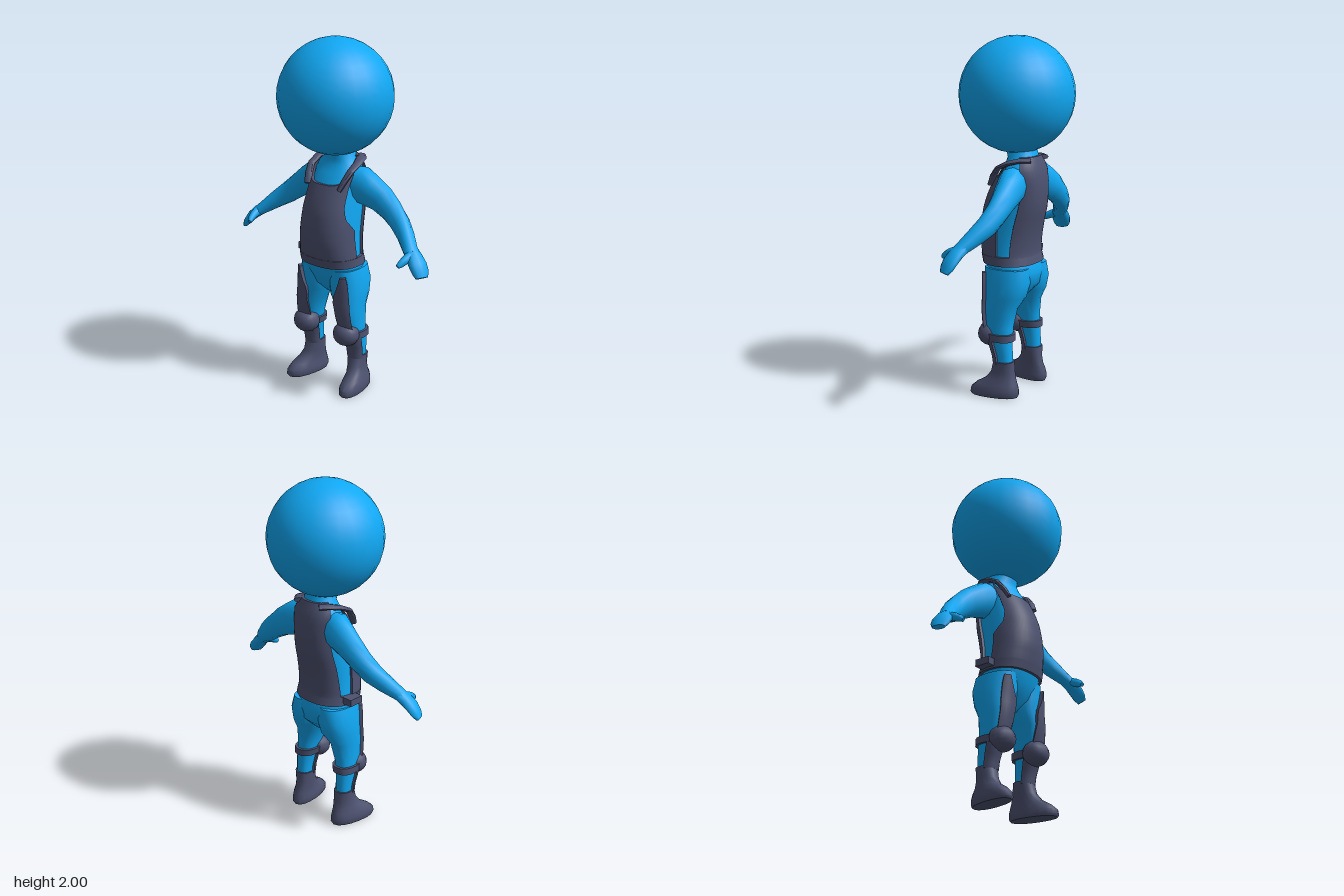
import * as THREE from 'three';
import { toCreasedNormals } from 'three/addons/utils/BufferGeometryUtils.js';

const skin = new THREE.MeshStandardMaterial({ color: 0x10a8f4 });
const cloth = new THREE.MeshStandardMaterial({ color: 0x4d5270, side: THREE.DoubleSide });
const lerp = THREE.MathUtils.lerp;

// Cross-sections: [y, centre x, half width, front z, back z]
const TORSO = [
  [0.56, 0, 0.05, 0.05, -0.06], [0.62, 0, 0.13, 0.11, -0.12], [0.7, 0, 0.18, 0.14, -0.13],
  [0.75, 0, 0.172, 0.16, -0.115], [0.8, 0, 0.168, 0.172, -0.102], [0.9, 0, 0.158, 0.187, -0.115],
  [0.97, 0, 0.155, 0.184, -0.128], [1.06, 0, 0.148, 0.17, -0.15], [1.13, 0, 0.142, 0.145, -0.157],
  [1.2, 0, 0.138, 0.112, -0.157], [1.27, 0, 0.138, 0.072, -0.148], [1.31, 0, 0.122, 0.045, -0.134],
  [1.34, 0, 0.09, 0.04, -0.12], [1.42, 0, 0.082, 0.06, -0.1],
];
const LEG = [
  [0.18, 0.16, 0.043, 0.04, -0.058], [0.24, 0.16, 0.044, 0.05, -0.058], [0.3, 0.16, 0.05, 0.07, -0.055],
  [0.4, 0.15, 0.058, 0.105, -0.055], [0.5, 0.135, 0.071, 0.12, -0.07], [0.57, 0.112, 0.096, 0.123, -0.11],
  [0.65, 0.105, 0.099, 0.128, -0.13], [0.73, 0.1, 0.085, 0.135, -0.12],
];
const BOOT = [
  [0, 0.173, 0.058, 0.176, -0.092], [0.012, 0.173, 0.063, 0.183, -0.098], [0.04, 0.173, 0.062, 0.178, -0.098],
  [0.07, 0.172, 0.056, 0.145, -0.09], [0.1, 0.167, 0.05, 0.095, -0.078], [0.14, 0.161, 0.048, 0.065, -0.07],
  [0.205, 0.16, 0.052, 0.05, -0.067],
];

// Piecewise-linear lookup in rows that start with y
function at(rows, y) {
  let i = 0;
  while (i < rows.length - 2 && y > rows[i + 1][0]) i++;
  const t = THREE.MathUtils.clamp((y - rows[i][0]) / (rows[i + 1][0] - rows[i][0]), 0, 1);
  return rows[i].map((v, k) => lerp(v, rows[i + 1][k], t));
}

// Point on a profile at a height and an angle from the front
function surface(rows, y, angle, off = 0) {
  const [, cx, w, zf, zb] = at(rows, y);
  const s = Math.sin(angle), c = Math.cos(angle);
  return new THREE.Vector3(cx + (w + off) * Math.sign(s) * Math.abs(s) ** 0.85, y,
    (zf + zb) / 2 + ((zf - zb) / 2 + off) * Math.sign(c) * Math.abs(c) ** 0.9);
}

// Skin a grid of points; closed rows wrap round
function grid(rows, closed) {
  const n = rows[0].length, pos = [], index = [];
  rows.flat().forEach((p) => pos.push(p.x, p.y, p.z));
  const all = rows.flat();
  const tri = (a, b, c) => {
    if (all[a].distanceTo(all[b]) > 1e-6 && all[b].distanceTo(all[c]) > 1e-6 && all[a].distanceTo(all[c]) > 1e-6) index.push(a, b, c);
  };
  for (let i = 0; i < rows.length - 1; i++) {
    for (let j = 0; j < (closed ? n : n - 1); j++) {
      const k = (j + 1) % n, a = i * n + j, b = i * n + k, c = b + n, d = a + n;
      tri(a, b, c);
      tri(a, c, d);
    }
  }
  const g = new THREE.BufferGeometry();
  g.setAttribute('position', new THREE.Float32BufferAttribute(pos, 3));
  g.setIndex(index);
  return g;
}

// Collapse both end rings to their centres
function capped(rings) {
  const mid = (r) => {
    const c = r.reduce((s, p) => s.add(p), new THREE.Vector3()).divideScalar(r.length);
    return r.map(() => c.clone());
  };
  return grid([mid(rings[0]), ...rings, mid(rings[rings.length - 1])], true);
}

const loft = (rows, sides) => capped(rows.map(([y]) =>
  Array.from({ length: sides }, (_, j) => surface(rows, y, (j / sides) * Math.PI * 2))));

// Elliptical sweep through [x, y, z, vertical radius, sideways radius]
function sweep(path, sides = 12) {
  const pts = path.map((p) => new THREE.Vector3(p[0], p[1], p[2]));
  return capped(pts.map((p, i) => {
    const t = pts[Math.min(i + 1, pts.length - 1)].clone().sub(pts[Math.max(i - 1, 0)]).normalize();
    const up = new THREE.Vector3(0, 1, 0).addScaledVector(t, -t.y).normalize();
    const across = t.clone().cross(up);
    return Array.from({ length: sides }, (_, j) => {
      const a = (j / sides) * Math.PI * 2;
      return p.clone().addScaledVector(up, Math.cos(a) * path[i][3]).addScaledVector(across, Math.sin(a) * path[i][4]);
    });
  }));
}

// Raised panel on a profile with edges turned in; span(y) gives [centre angle, half angle]
function panel(rows, y0, top, span, off, nu = 14, nv = 12) {
  const out = [];
  for (let i = -1; i <= nv + 1; i++) {
    const v = THREE.MathUtils.clamp(i / nv, 0, 1), row = [];
    for (let j = -1; j <= nu + 1; j++) {
      const u = THREE.MathUtils.clamp(j / nu, 0, 1) * 2 - 1;
      const y = lerp(y0, top(u), v), [c, h] = span(y);
      const edge = i < 0 || j < 0 || i > nv || j > nu;
      row.push(surface(rows, y, c + u * h, edge ? -0.004 : off));
    }
    out.push(row);
  }
  return grid(out, false);
}

export function createModel() {
  const model = new THREE.Group();
  const add = (name, g, mat, crease = 1) => {
    const m = new THREE.Mesh(toCreasedNormals(g, crease), mat);
    m.name = name;
    model.add(m);
  };
  // Left part plus its mirror image with reversed faces
  const pair = (name, g, mat, crease) => {
    add('left' + name, g, mat, crease);
    const r = g.clone().scale(-1, 1, 1);
    r.index.array.reverse();
    add('right' + name, r, mat, crease);
  };

  // Head and body
  add('head', new THREE.SphereGeometry(0.32, 24, 18).translate(0, 1.68, 0), skin);
  add('torso', loft(TORSO, 24), skin, 1.2);

  // Vest: scooped front, full back, belt and side pouch
  const frontSpan = [[0.75, 1.6], [0.96, 1.55], [1.03, 1.15], [1.1, 1.05], [1.2, 1.1], [1.3, 1.2]];
  add('vestFront', panel(TORSO, 0.75, (u) => 1.21 + 0.09 * u ** 4, (y) => [0, at(frontSpan, y)[1]], 0.014, 18, 16), cloth, 0.6);
  const backSpan = [[0.75, 1.1], [1.0, 1.05], [1.2, 1.0], [1.35, 1.25]];
  add('vestBack', panel(TORSO, 0.75, () => 1.35, (y) => [Math.PI, at(backSpan, y)[1]], 0.014, 14, 16), cloth, 0.6);
  add('belt', panel(TORSO, 0.75, () => 0.8, () => [Math.PI, Math.PI], 0.016, 28, 2), cloth, 0.6);
  pair('ShoulderStrap', sweep([
    [0.075, 1.335, -0.125, 0.014, 0.03], [0.115, 1.335, -0.08, 0.014, 0.03], [0.138, 1.32, -0.02, 0.014, 0.026],
    [0.14, 1.29, 0.04, 0.014, 0.022], [0.127, 1.24, 0.078, 0.014, 0.022], [0.11, 1.19, 0.102, 0.012, 0.022],
  ], 8), cloth, 0.8);
  add('pouch', new THREE.BoxGeometry(0.06, 0.04, 0.09).translate(-0.202, 0.782, 0.01), cloth, 0.5);

  // Arms, mitten hands and thumbs
  pair('Arm', sweep([
    [0.07, 1.205, -0.04, 0.09, 0.075], [0.14, 1.2, -0.05, 0.106, 0.08], [0.2, 1.17, -0.06, 0.094, 0.072],
    [0.27, 1.135, -0.07, 0.08, 0.064], [0.34, 1.085, -0.07, 0.068, 0.057], [0.41, 1.03, -0.055, 0.06, 0.052],
    [0.47, 0.985, -0.025, 0.05, 0.047], [0.53, 0.935, 0.015, 0.037, 0.042], [0.555, 0.915, 0.03, 0.032, 0.042],
  ]), skin, 1.2);
  pair('Hand', sweep([
    [0.53, 0.935, 0.015, 0.033, 0.04], [0.57, 0.905, 0.032, 0.032, 0.048], [0.605, 0.872, 0.045, 0.028, 0.054],
    [0.63, 0.838, 0.053, 0.022, 0.05], [0.645, 0.813, 0.06, 0.014, 0.036],
  ], 10), skin, 1.2);
  pair('Thumb', sweep([
    [0.555, 0.915, 0.045, 0.026, 0.026], [0.553, 0.9, 0.085, 0.024, 0.022],
    [0.547, 0.885, 0.115, 0.02, 0.018], [0.54, 0.872, 0.135, 0.012, 0.012],
  ], 8), skin, 1.2);

  // Legs with thigh strips, shin guards and knee pads
  pair('Leg', loft(LEG, 16), skin, 1.2);
  pair('ThighStrip', panel(LEG, 0.38, () => 0.7, (y) => {
    const t = (y - 0.38) / 0.32;
    return [lerp(0, 0.52, t), lerp(0.75, 0.17, t)];
  }, 0.018, 6, 8), cloth, 0.6);
  pair('ShinGuard', panel(LEG, 0.19, () => 0.34, () => [0, 1.3], 0.012, 8, 6), cloth, 0.6);
  pair('KneeStrap', panel(LEG, 0.325, () => 0.365, () => [Math.PI, Math.PI], 0.014, 20, 2), cloth, 0.6);
  pair('KneePad', new THREE.SphereGeometry(1, 14, 10).scale(0.078, 0.07, 0.073).translate(0.148, 0.35, 0.082), cloth, 0.7);

  // Boots with toes turned slightly out
  const boot = loft(BOOT, 16), p = boot.attributes.position;
  for (let i = 0; i < p.count; i++) {
    const turn = 0.15 * THREE.MathUtils.clamp((0.2 - p.getY(i)) / 0.1, 0, 1);
    p.setX(i, p.getX(i) + turn * p.getZ(i));
  }
  pair('Boot', boot, cloth, 0.8);
  return model;
}
